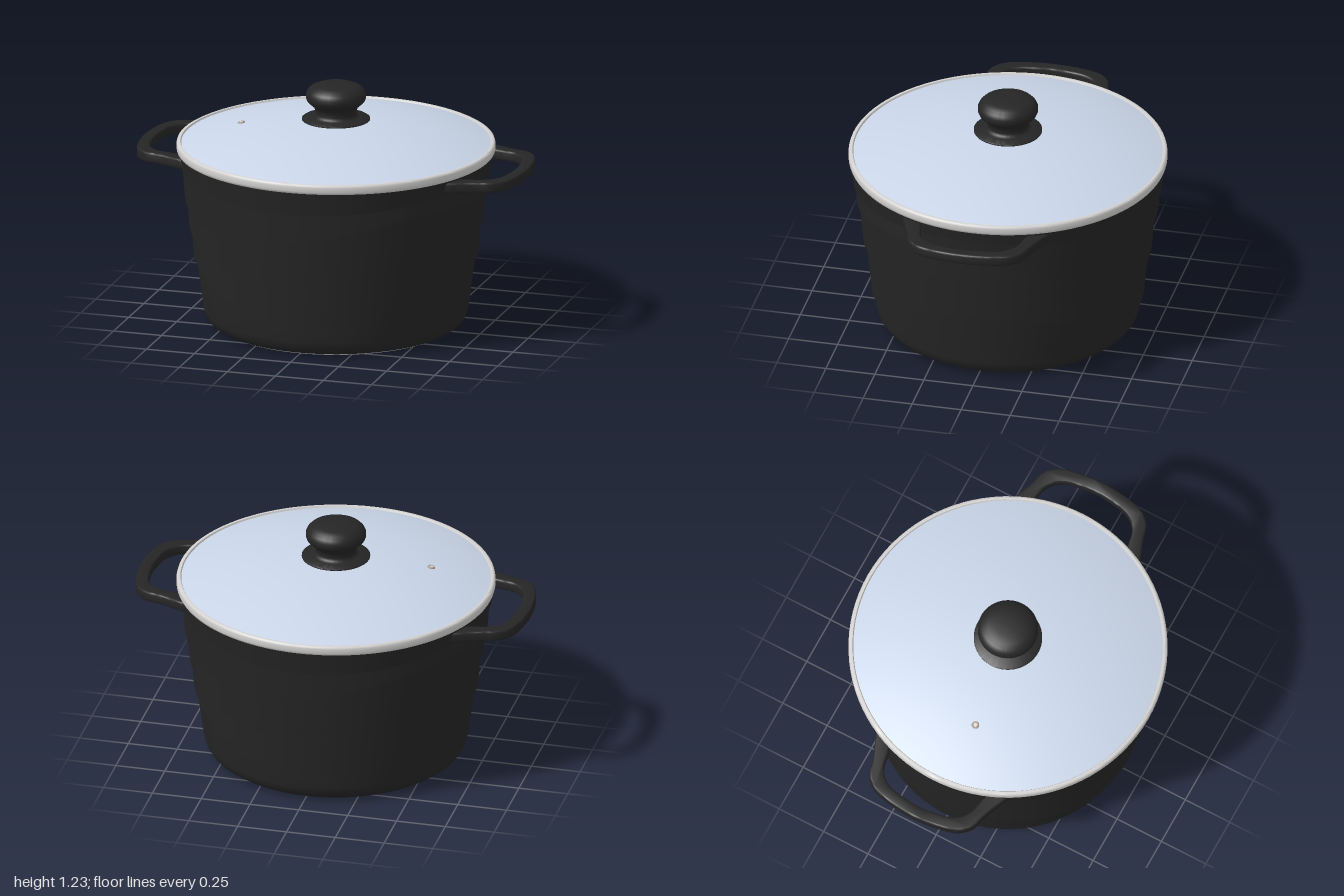
import * as THREE from 'three';
import { mergeGeometries, toCreasedNormals } from 'three/addons/utils/BufferGeometryUtils.js';

const SEG = 96;

function material(name, color) {
  const m = new THREE.MeshStandardMaterial({ color });
  m.name = name;
  return m;
}

function add(parent, name, geometry, mat) {
  const mesh = new THREE.Mesh(geometry, mat);
  mesh.name = name;
  parent.add(mesh);
  return mesh;
}

// Turned part from [radius, height] pairs, with sharp edges kept
function turned(points, crease = 0.6) {
  const g = new THREE.LatheGeometry(points.map(([r, y]) => new THREE.Vector2(r, y)), SEG);
  return toCreasedNormals(g, crease);
}

// Closed ring surface; each row gives [radius, height] for an angle (0 = front, 90 deg = +x)
function ringSurface(rows) {
  const pos = [], index = [];
  rows.forEach((row, i) => {
    for (let j = 0; j < SEG; j++) {
      const a = (j / SEG) * Math.PI * 2;
      const [r, y] = row(a);
      pos.push(r * Math.sin(a), y, r * Math.cos(a));
      if (i === rows.length - 1) continue;
      const k = (j + 1) % SEG, p = i * SEG, q = p + SEG;
      index.push(p + j, p + k, q + k, p + j, q + k, q + j);
    }
  });
  const g = new THREE.BufferGeometry();
  g.setAttribute('position', new THREE.Float32BufferAttribute(pos, 3));
  g.setIndex(index);
  g.computeVertexNormals();
  return g;
}

// Tapered wall made of overlapping bands, each stepping out along a wavy line
function wallGeometry() {
  const outer = (y) => 0.653 + 0.149 * y;
  const STEP = 0.012, RISE = 0.002;
  const wave = (mid, amp, deg) => (a) => mid - amp * Math.cos(2 * (a - THREE.MathUtils.degToRad(deg)));
  const waves = [
    wave(0.253, 0.11, 5),
    wave(0.469, 0.105, -16),
    wave(0.654, 0.083, -28),
    wave(0.797, 0.033, 0),
  ];
  const foot = [[0.59, 0.004], [0.61, 0.01], [0.633, 0.027], [0.648, 0.05], [0.657, 0.08]];
  const parts = [];
  let lower = foot.map((p) => () => p);
  for (const w of waves) {
    const inside = (a) => [outer(w(a)) - STEP, w(a)];
    const outside = (a) => [outer(w(a) + RISE), w(a) + RISE];
    parts.push(ringSurface([...lower, inside]), ringSurface([inside, outside]));
    lower = [outside];
  }
  const top = () => [outer(0.89), 0.89];
  parts.push(ringSurface([...lower, top]), ringSurface([top, () => [0.72, 0.89]]));
  return mergeGeometries(parts);
}

// Flat loop handle on the +x side
function handleGeometry() {
  const half = (pts) => [
    ...pts.map(([x, z]) => new THREE.Vector2(x, -z)),
    ...pts.slice(0, -1).reverse().map(([x, z]) => new THREE.Vector2(x, z)),
  ];
  const outer = half([[0.67, 0.37], [0.74, 0.34], [0.83, 0.305], [0.9, 0.285], [0.95, 0.235], [0.978, 0.14], [0.991, 0]]);
  const inner = half([[0.69, 0.295], [0.76, 0.272], [0.84, 0.255], [0.89, 0.222], [0.925, 0.165], [0.94, 0.09], [0.948, 0]]);
  const smooth = (pts) => new THREE.CatmullRomCurve3(pts.map((p) => new THREE.Vector3(p.x, p.y, 0)))
    .getPoints(40).map((p) => new THREE.Vector2(p.x, p.y));
  const shape = new THREE.Shape([...smooth(outer), ...smooth(inner).reverse()]);
  const g = new THREE.ExtrudeGeometry(shape, {
    depth: 0.034, bevelEnabled: true, bevelSize: 0.009, bevelThickness: 0.009, bevelSegments: 3,
  });
  g.rotateX(Math.PI / 2);
  g.translate(0, 0.87, 0);
  return toCreasedNormals(g, 0.7);
}

export function createModel() {
  const black = material('matte black', 0x252525);
  const glass = material('pale blue glass', 0xcad6e9);
  const steel = material('rim steel', 0xd2d1d0);
  const baseGrey = material('base grey', 0xc6c6c6);
  const bronze = material('dull bronze', 0xa6988c);

  const model = new THREE.Group();
  model.name = 'cookingPot';

  // Pot
  const pot = new THREE.Group();
  pot.name = 'pot';
  model.add(pot);
  add(pot, 'wavyWall', wallGeometry(), black);
  add(pot, 'basePlate', turned([[0.17, 0.02], [0.17, 0], [0.588, 0], [0.592, 0.005]]), baseGrey);
  add(pot, 'baseRecess', turned([[0, 0.02], [0.17, 0.02]]), bronze);

  // Two side handles
  const loop = handleGeometry();
  add(pot, 'leftHandle', loop, black);
  add(pot, 'rightHandle', loop, black).rotation.y = Math.PI;

  // Lid: glass dome in a steel rim
  const lid = new THREE.Group();
  lid.name = 'lid';
  model.add(lid);
  const domeY = (r) => 1.053 - (2.4 - Math.sqrt(2.4 * 2.4 - r * r));
  const dome = [];
  for (let i = 0; i <= 20; i++) {
    const r = 0.772 * (1 - i / 20);
    dome.push([r, domeY(r)]);
  }
  add(lid, 'glassDome', turned(dome), glass);
  add(lid, 'steelRim', turned([
    [0.72, 0.885], [0.782, 0.885], [0.789, 0.89], [0.792, 0.9], [0.792, 0.922],
    [0.789, 0.932], [0.781, 0.936], [0.772, 0.935], [0.767, 0.925],
  ], 0.9), steel);

  // Steam vent: bronze ring around a steel pin
  const vent = new THREE.Group();
  vent.name = 'steamVent';
  vent.position.set(-0.47, domeY(0.475) + 0.001, 0.07);
  vent.rotation.z = 0.2;
  lid.add(vent);
  add(vent, 'ventRing', new THREE.TorusGeometry(0.014, 0.005, 8, 20).rotateX(Math.PI / 2), bronze);
  add(vent, 'ventPin', new THREE.CylinderGeometry(0.01, 0.01, 0.01, 16), steel);

  // Knob with its flange
  add(lid, 'knob', turned([
    [0.17, 1.036], [0.17, 1.051], [0.163, 1.056], [0.12, 1.06], [0.105, 1.066], [0.101, 1.078],
    [0.103, 1.095], [0.11, 1.112], [0.128, 1.128], [0.143, 1.143], [0.15, 1.16], [0.15, 1.178],
    [0.142, 1.196], [0.126, 1.212], [0.1, 1.223], [0.06, 1.229], [0, 1.231],
  ], 0.9), black);

  return model;
}
